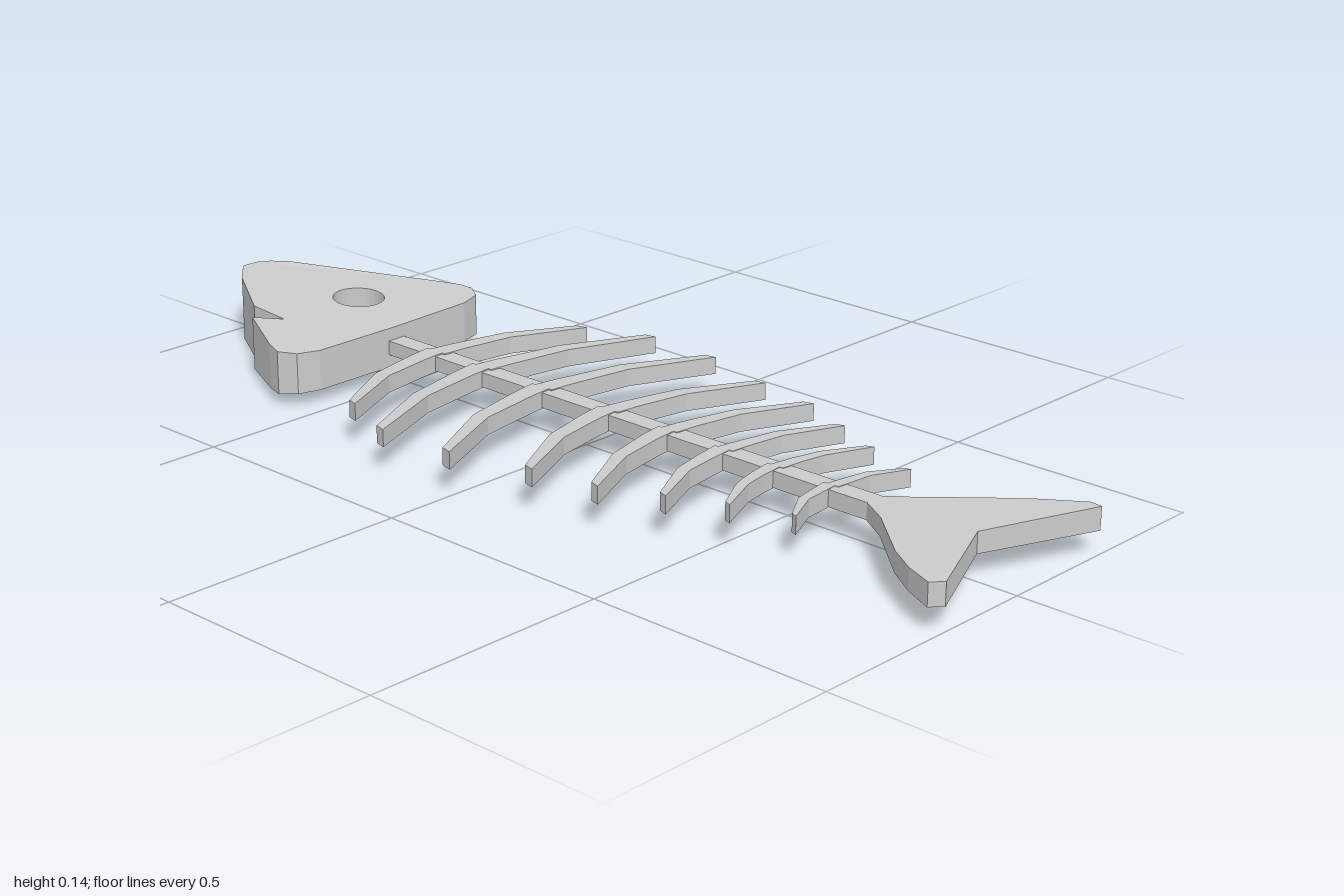
import * as THREE from 'three';

const MID = 0.068; // height of the flat middle plane
const material = new THREE.MeshStandardMaterial({ color: 0xcccccc, flatShading: true });

// Extrude an (x, z) outline upright; half(x) gives the half thickness along the body
function plate(name, points, half, hole) {
  const shape = new THREE.Shape(points.map(([x, z]) => new THREE.Vector2(x, z)));
  if (hole) shape.holes.push(hole);
  const geo = new THREE.ExtrudeGeometry(shape, { depth: 2, bevelEnabled: false, curveSegments: 16 });
  geo.translate(0, 0, -1).rotateX(Math.PI / 2);
  const pos = geo.attributes.position;
  for (let i = 0; i < pos.count; i++) pos.setY(i, MID + pos.getY(i) * half(pos.getX(i)));
  geo.computeVertexNormals();
  const mesh = new THREE.Mesh(geo, material);
  mesh.name = name;
  return mesh;
}

export function createModel() {
  const fish = new THREE.Group();
  fish.name = 'fishSkeleton';

  // Head: wedge with open mouth and eye hole, thicker at the snout
  const eye = new THREE.Path().absarc(-0.703, -0.053, 0.053, 0, Math.PI * 2, true);
  fish.add(plate('head', [
    [-1, -0.03], [-0.985, -0.055], [-0.955, -0.08], [-0.66, -0.25], [-0.625, -0.268],
    [-0.595, -0.272], [-0.56, -0.25], [-0.543, -0.2], [-0.535, 0], [-0.535, 0.2],
    [-0.55, 0.245], [-0.583, 0.267], [-0.625, 0.252], [-0.754, 0.187], [-0.706, 0.144],
    [-0.8, 0.144], [-0.94, 0.06], [-0.975, 0.03], [-1, 0.005],
  ], x => 0.068 - 0.065 * Math.max(0, x + 0.95), eye));

  // Spine
  fish.add(plate('spine', [[-0.54, -0.025], [0.72, -0.025], [0.72, 0.017], [-0.54, 0.017]],
    x => 0.0155 + 0.0015 * x));

  // Ribs: base x, base width, bend x, bend z, tip x, tip z
  const ribs = [
    [-0.435, 0.042, -0.4, 0.17, -0.325, 0.305],
    [-0.305, 0.044, -0.265, 0.195, -0.187, 0.36],
    [-0.14, 0.044, -0.1, 0.195, -0.018, 0.352],
    [0.037, 0.042, 0.075, 0.17, 0.15, 0.308],
    [0.19, 0.038, 0.225, 0.16, 0.292, 0.285],
    [0.33, 0.034, 0.355, 0.13, 0.41, 0.235],
    [0.455, 0.028, 0.477, 0.108, 0.52, 0.188],
    [0.585, 0.025, 0.6, 0.088, 0.637, 0.148],
  ];
  for (const side of [-1, 1]) {
    ribs.forEach(([bx, w, mx, mz, tx, tz], i) => {
      const shift = side > 0 ? -0.008 : 0;
      const outline = [
        [bx, 0], [bx + 0.008, 0.05], [mx, mz], [tx, tz], [tx + w * 0.55, tz + 0.006],
        [mx + w * 0.7, mz - 0.008], [bx + w + 0.005, 0.05], [bx + w, 0],
      ].map(([x, z]) => [x + shift, side * z - 0.003]);
      fish.add(plate((side > 0 ? 'leftRib' : 'rightRib') + (i + 1), outline, () => 0.0175));
    });
  }

  // Forked tail fin, thickening towards its ends
  fish.add(plate('tail', [
    [0.69, -0.025], [0.73, -0.055], [0.83, -0.14], [0.9, -0.195], [0.975, -0.243],
    [1, -0.238], [0.91, -0.005], [1, 0.2], [0.98, 0.222], [0.92, 0.195], [0.86, 0.155],
    [0.75, 0.055], [0.69, 0.017],
  ], x => 0.0165 + 0.02 * (x - 0.69)));

  return fish;
}
